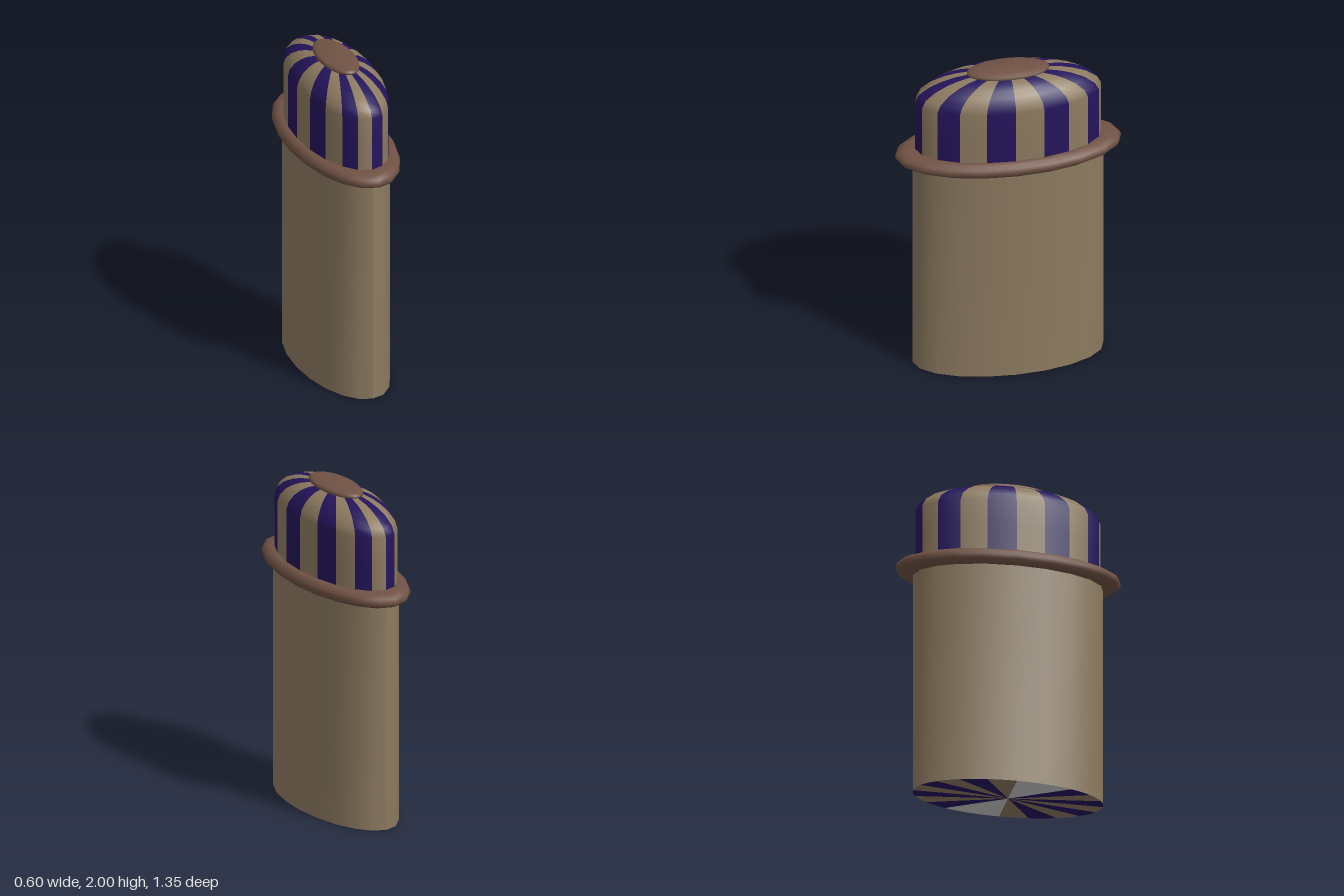
import * as THREE from 'three';
import { mergeGeometries, toCreasedNormals } from 'three/addons/utils/BufferGeometryUtils.js';

const SIDES = 20;
const STEP = (Math.PI * 2) / SIDES;
const STRETCH = 2.25; // depth of the oval relative to its width
const RADIUS = 0.2525;
const RIM_Y = 1.4375;

const material = (color) => new THREE.MeshStandardMaterial({ color });
const khaki = material(0x8c7a60);
const blue = material(0x24145c);
const brown = material(0x705244);
const grey = material(0xcccccc);

export function createModel() {
  const group = new THREE.Group();

  // Every part is made round, then stretched into an oval along z
  const add = (name, geometry, mat) => {
    geometry.scale(1, 1, STRETCH);
    const mesh = new THREE.Mesh(geometry, mat);
    mesh.name = name;
    group.add(mesh);
    return mesh;
  };
  const profile = (pairs) => pairs.map(([x, y]) => new THREE.Vector2(x, y));
  const sectors = (keep, build) =>
    mergeGeometries([...Array(SIDES).keys()].filter(keep).map(build));

  // Body: oval column, creased only at its sharp front and back edges
  const body = new THREE.CylinderGeometry(RADIUS, RADIUS, RIM_Y, SIDES, 1, true);
  body.translate(0, RIM_Y / 2, 0);
  const bodyMesh = add('body', body, khaki);
  bodyMesh.geometry = toCreasedNormals(bodyMesh.geometry, 0.6);

  // Underside: fan of wedges with two plain pairs at the sides
  const plain = (i) => i % 10 >= 8;
  const wedge = (i) => new THREE.CircleGeometry(RADIUS, 1, i * STEP, STEP).rotateX(Math.PI / 2);
  add('undersidePlain', sectors(plain, wedge), grey);
  add('undersideLight', sectors((i) => !plain(i) && i % 2 === 0, wedge), khaki);
  add('undersideDark', sectors((i) => !plain(i) && i % 2 === 1, wedge), blue);

  // Rim around the top of the body
  const rim = new THREE.TorusGeometry(RADIUS, 0.0475, 12, SIDES);
  rim.rotateX(Math.PI / 2).translate(0, RIM_Y, 0);
  add('rim', rim, brown);

  // Striped dome: alternating lathe sectors
  const domeProfile = profile([
    [0.2465, RIM_Y], [0.2465, 1.65], [0.2465, 1.81], [0.236, 1.855], [0.208, 1.9],
    [0.175, 1.93], [0.143, 1.949], [0.1, 1.962], [0, 1.966],
  ]);
  const stripe = (i) =>
    new THREE.LatheGeometry(domeProfile, 1, Math.PI / 2 - (i + 1) * STEP, STEP);
  add('domeDarkStripes', sectors((i) => i % 2 === 0, stripe), blue);
  add('domeLightStripes', sectors((i) => i % 2 === 1, stripe), khaki);

  // Button on the crown
  const buttonProfile = profile([
    [0.1, 1.95], [0.109, 1.962], [0.108, 1.974], [0.1, 1.983], [0.075, 1.99], [0.04, 1.997], [0, 2],
  ]);
  add('crownButton', new THREE.LatheGeometry(buttonProfile, 40), brown);

  return group;
}
